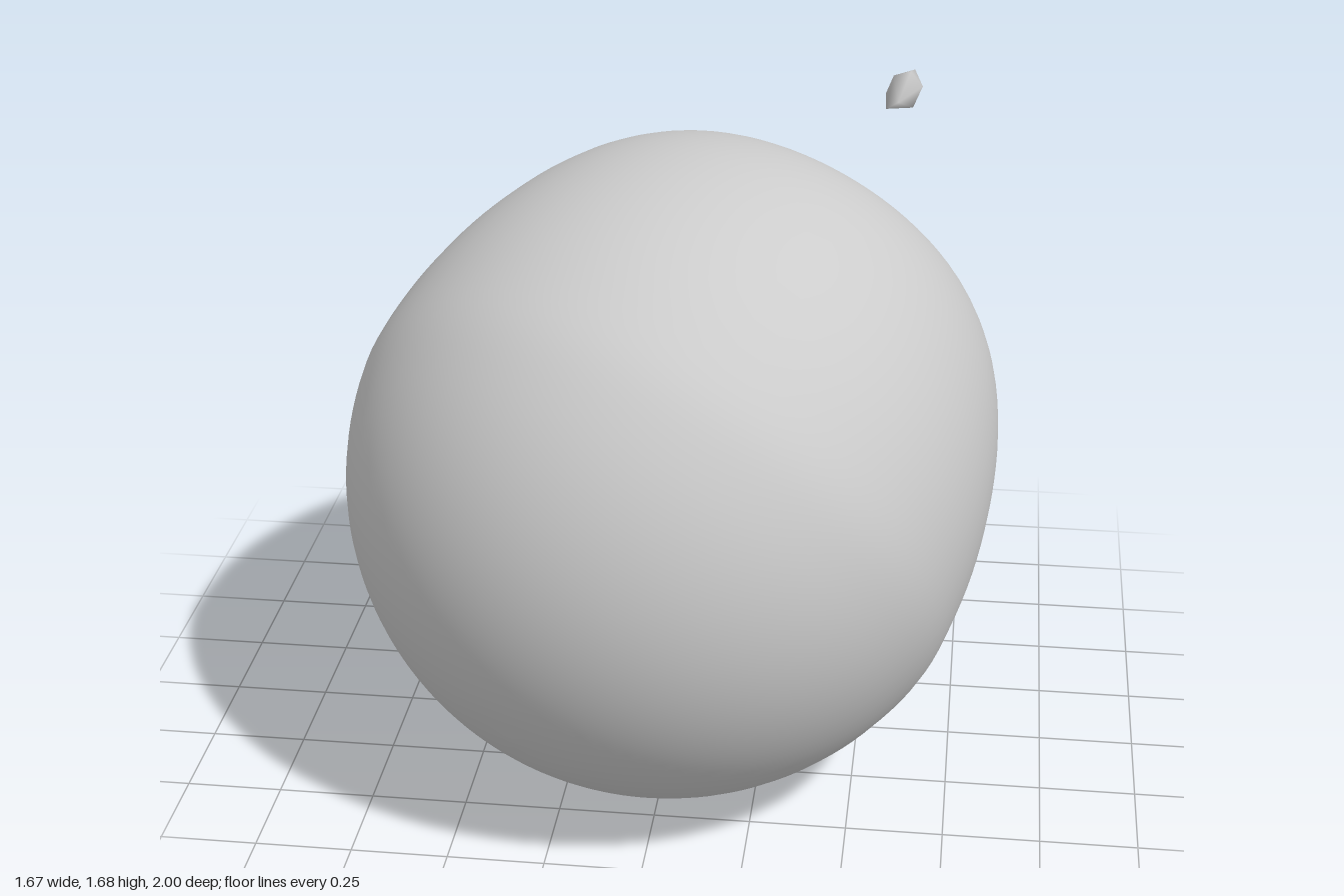
import * as THREE from 'three';
import { mergeVertices } from 'three/addons/utils/BufferGeometryUtils.js';
import { ConvexGeometry } from 'three/addons/geometries/ConvexGeometry.js';

const v3 = (x, y, z) => new THREE.Vector3(x, y, z);

// Weld coincident vertices so the shading is smooth everywhere
function smooth(geo) {
  geo.deleteAttribute('uv');
  geo.deleteAttribute('normal');
  const welded = mergeVertices(geo, 1e-4);
  welded.computeVertexNormals();
  return welded;
}

// Fruit: a lathed profile whose axis leans up and back, with a dimple at the stem end
function fruitGeometry() {
  const axis = v3(0.38, 0.53, -0.755).normalize();
  const centre = v3(0, 0.83, 0.17);

  // Round bottom, then a tapering shoulder, the rim and the dimple
  const outline = [];
  for (let i = 0; i <= 8; i++) {
    const a = (i * Math.PI) / 18;
    outline.push([0.83 * Math.sin(a), -0.83 * Math.cos(a)]);
  }
  outline.push(
    [0.82, 0.01], [0.802, 0.17], [0.765, 0.33], [0.708, 0.49], [0.632, 0.632],
    [0.54, 0.742], [0.44, 0.815], [0.34, 0.847], [0.24, 0.84], [0.16, 0.78],
    [0.1, 0.69], [0.05, 0.62], [0, 0.6],
  );
  const profile = new THREE.SplineCurve(outline.map(([r, t]) => new THREE.Vector2(r, t)));
  const points = profile.getPoints(84);
  points.forEach((p) => { p.x = Math.max(0, p.x); });
  points[84].x = 0;

  const geo = new THREE.LatheGeometry(points, 72);
  geo.applyQuaternion(new THREE.Quaternion().setFromUnitVectors(v3(0, 1, 0), axis));

  // Lopsided shoulder: the lower back of the rim stands higher
  const lean = v3(-0.01, -0.065, -0.05);
  const pos = geo.attributes.position;
  const p = v3(0, 0, 0);
  for (let i = 0; i < pos.count; i++) {
    p.fromBufferAttribute(pos, i);
    const t = p.dot(axis);
    const q = p.clone().addScaledVector(axis, -t);
    p.addScaledVector(axis, THREE.MathUtils.smoothstep(t, 0, 0.8) * q.dot(lean)).add(centre);
    pos.setXYZ(i, p.x, p.y, p.z);
  }
  return smooth(geo);
}

// Stem tip: a small chunk with a flat back and a blunt point at the front
function stemTipGeometry() {
  return smooth(new ConvexGeometry([
    v3(0.48, 1.5, -0.99), v3(0.5, 1.55, -1), v3(0.56, 1.57, -1),
    v3(0.575, 1.52, -1), v3(0.53, 1.48, -1),
    v3(0.55, 1.58, -0.95), v3(0.585, 1.54, -0.94), v3(0.56, 1.48, -0.93),
    v3(0.485, 1.48, -0.91), v3(0.52, 1.51, -0.88),
  ]));
}

export function createModel() {
  const group = new THREE.Group();
  const material = new THREE.MeshStandardMaterial({ color: 0xcccccc });
  const add = (name, geometry) => {
    const mesh = new THREE.Mesh(geometry, material);
    mesh.name = name;
    group.add(mesh);
  };
  add('fruit', fruitGeometry());
  add('stemTip', stemTipGeometry());
  return group;
}
